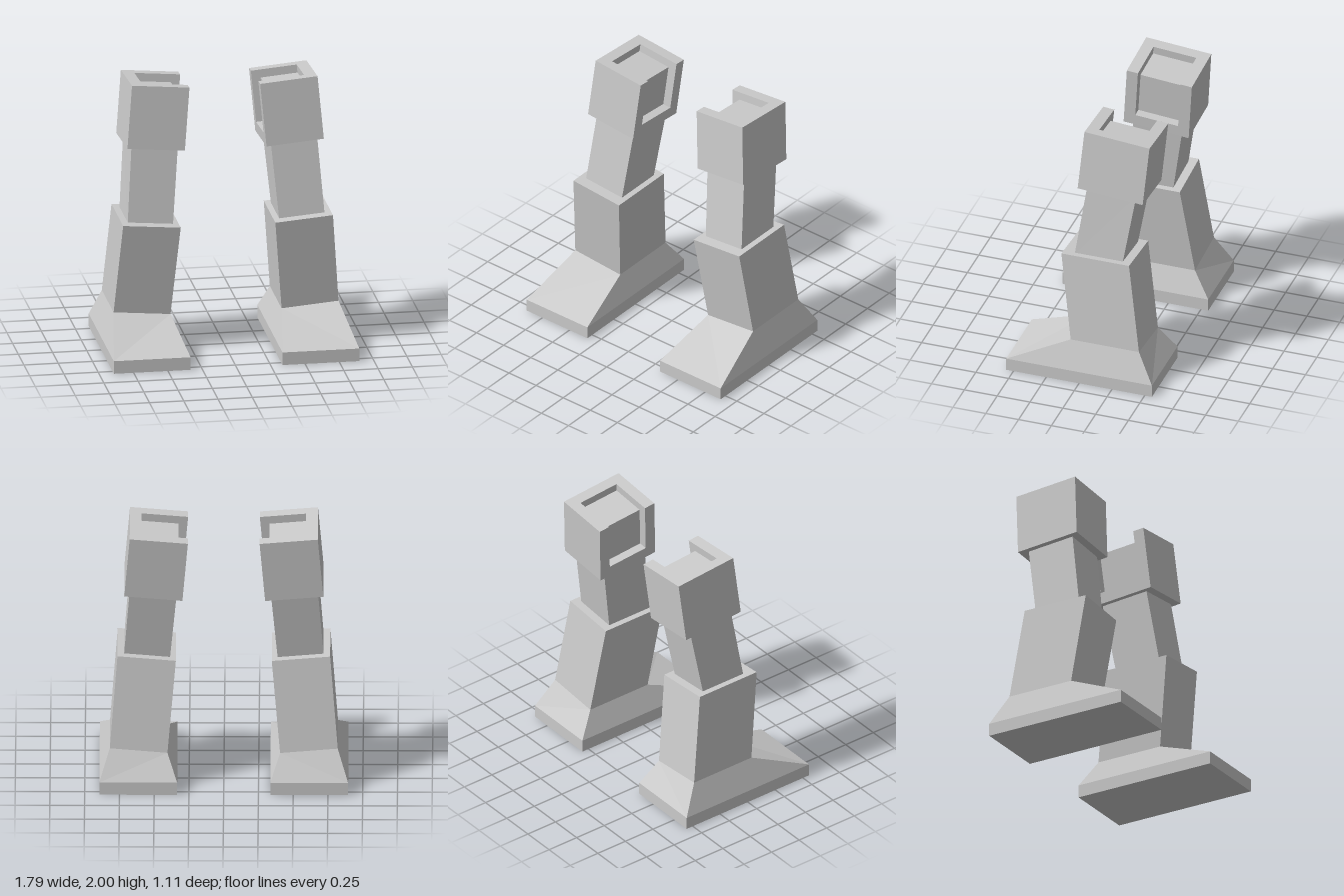
import * as THREE from 'three';

const material = new THREE.MeshStandardMaterial({ color: 0xcccccc, flatShading: true });

// Four corners of a leg section: inner edge (xi, yi), outer edge (xo, yo), front and back z
function ring(xi, yi, xo, yo, zf, zb, backDrop = 0) {
  return [[xi, yi, zf], [xo, yo, zf], [xo, yo - backDrop, zb], [xi, yi - backDrop, zb]];
}

// Closed solid through a stack of four-cornered rings, bottom to top
function loft(rings) {
  const pos = [];
  const tri = (...corners) => corners.forEach((c) => pos.push(...c));
  for (let r = 0; r < rings.length - 1; r++) {
    for (let k = 0; k < 4; k++) {
      const n = (k + 1) % 4;
      const a = rings[r][k], b = rings[r][n], c = rings[r + 1][n], d = rings[r + 1][k];
      if (k % 2 === 0 && k < 2) { tri(a, b, d); tri(b, c, d); }
      else { tri(a, b, c); tri(a, c, d); }
    }
  }
  const [b0, b1, b2, b3] = rings[0];
  const [t0, t1, t2, t3] = rings[rings.length - 1];
  tri(b0, b2, b1); tri(b0, b3, b2);
  tri(t0, t1, t2); tri(t0, t2, t3);
  const geo = new THREE.BufferGeometry();
  geo.setAttribute('position', new THREE.Float32BufferAttribute(pos, 3));
  return geo;
}

function extrude(points, depth) {
  const shape = new THREE.Shape(points.map(([x, y]) => new THREE.Vector2(x, y)));
  const geo = new THREE.ExtrudeGeometry(shape, { depth, bevelEnabled: false });
  return geo.translate(0, 0, -depth / 2);
}

// Mirror across x = 0, reversing the corner order so faces still point outward
function mirrorX(source) {
  const src = source.index ? source.toNonIndexed() : source;
  const p = src.getAttribute('position');
  const pos = [];
  for (let i = 0; i < p.count; i += 3) {
    for (const j of [i, i + 2, i + 1]) pos.push(-p.getX(j), p.getY(j), p.getZ(j));
  }
  const geo = new THREE.BufferGeometry();
  geo.setAttribute('position', new THREE.Float32BufferAttribute(pos, 3));
  return geo;
}

// Geometries of the left (+x) leg
function legParts() {
  const ankle = ring(0.405, 0.275, 0.82, 0.31, 0.09, -0.43);

  // Flat sole with a sloped upper
  const foot = loft([
    ring(0.335, 0, 0.895, 0, 0.555, -0.555),
    ring(0.335, 0.095, 0.895, 0.095, 0.555, -0.555),
    ankle,
  ]);
  const shin = loft([ankle, ring(0.345, 0.955, 0.765, 0.99, 0.18, -0.335)]);
  // Both ends are sunk into the neighbouring parts
  const thigh = loft([
    ring(0.388, 0.945, 0.718, 0.975, 0.095, -0.27),
    ring(0.337, 1.535, 0.675, 1.565, 0.01, -0.36, 0.03),
  ]);

  // Tilted hip housing: U-shaped wall, open at the top and the inner side
  const w = 0.21, h = 0.2335, d = 0.2485, wall = 0.085;
  const hipShell = extrude([
    [-w, -d], [w, -d], [w, d], [-w, d],
    [-w, d - wall], [w - wall, d - wall], [w - wall, wall - d], [-w, wall - d],
  ], 2 * h).rotateX(-Math.PI / 2);

  // Recessed block with a floor ledge between the walls
  const hipCore = extrude([
    [-w, -h], [w - wall, -h], [w - wall, h - 0.06],
    [-w + 0.065, h - 0.06], [-w + 0.065, wall - h], [-w, wall - h],
  ], 2 * (d - wall));

  const tilt = new THREE.Matrix4()
    .makeRotationFromEuler(new THREE.Euler(-0.082, 0, 0.085))
    .setPosition(0.487, 1.731, -0.192);
  hipShell.applyMatrix4(tilt);
  hipCore.applyMatrix4(tilt);

  return { Foot: foot, Shin: shin, Thigh: thigh, HipShell: hipShell, HipCore: hipCore };
}

export function createModel() {
  const model = new THREE.Group();
  model.name = 'legs';
  const parts = legParts();
  for (const side of ['left', 'right']) {
    const leg = new THREE.Group();
    leg.name = side + 'Leg';
    for (const [name, source] of Object.entries(parts)) {
      const geo = side === 'left' ? source : mirrorX(source);
      geo.computeVertexNormals();
      const mesh = new THREE.Mesh(geo, material);
      mesh.name = side + name;
      leg.add(mesh);
    }
    model.add(leg);
  }
  return model;
}
